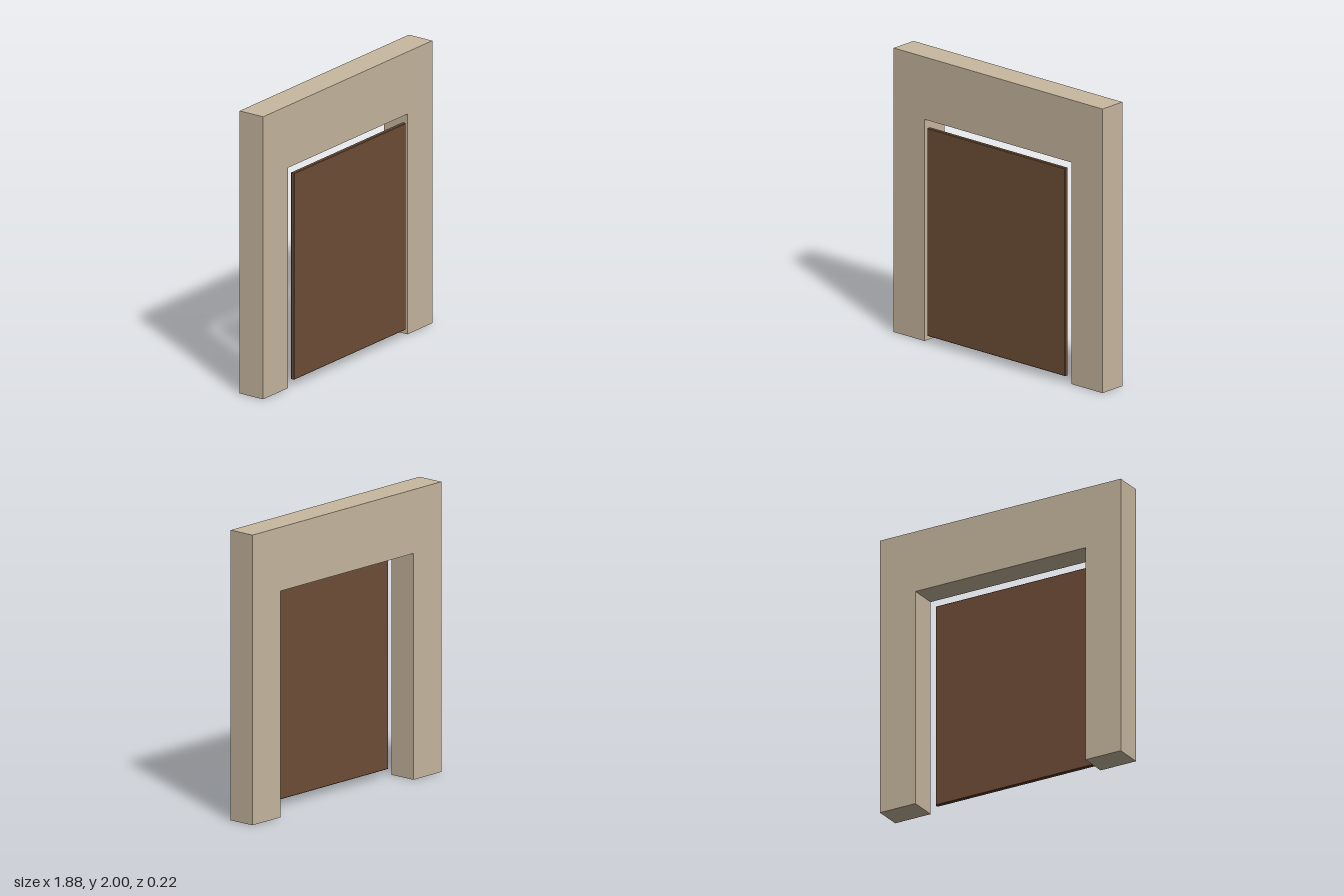
import * as THREE from 'three';

export function createModel() {
  const model = new THREE.Group();
  const stone = new THREE.MeshStandardMaterial({ color: 0xc8b8a0, flatShading: true });
  const wood = new THREE.MeshStandardMaterial({ color: 0x6f4e37, flatShading: true });

  // Surround: two jambs and a lintel cut as one portal shape
  const W = 0.94, H = 2, openW = 0.663, openH = 1.56;
  const portal = new THREE.Shape([
    [-W, 0], [-openW, 0], [-openW, openH], [openW, openH],
    [openW, 0], [W, 0], [W, H], [-W, H],
  ].map(([x, y]) => new THREE.Vector2(x, y)));
  const surround = new THREE.Mesh(
    new THREE.ExtrudeGeometry(portal, { depth: 0.196, bevelEnabled: false }), stone);
  surround.name = 'doorSurround';
  surround.position.z = -0.108;
  model.add(surround);

  // Door panel: thin slab with a fine chamfer, standing just proud of the surround
  const w = 0.62, bottom = 0.05, top = 1.513, thick = 0.03, b = 0.004;
  const slab = new THREE.Shape([
    [-w + b, bottom + b], [w - b, bottom + b], [w - b, top - b], [-w + b, top - b],
  ].map(([x, y]) => new THREE.Vector2(x, y)));
  const door = new THREE.Mesh(new THREE.ExtrudeGeometry(slab, {
    depth: thick - 2 * b, bevelSize: b, bevelThickness: b, bevelSegments: 1,
  }), wood);
  door.name = 'doorPanel';
  door.position.z = 0.108 - thick + b;
  model.add(door);

  return model;
}
